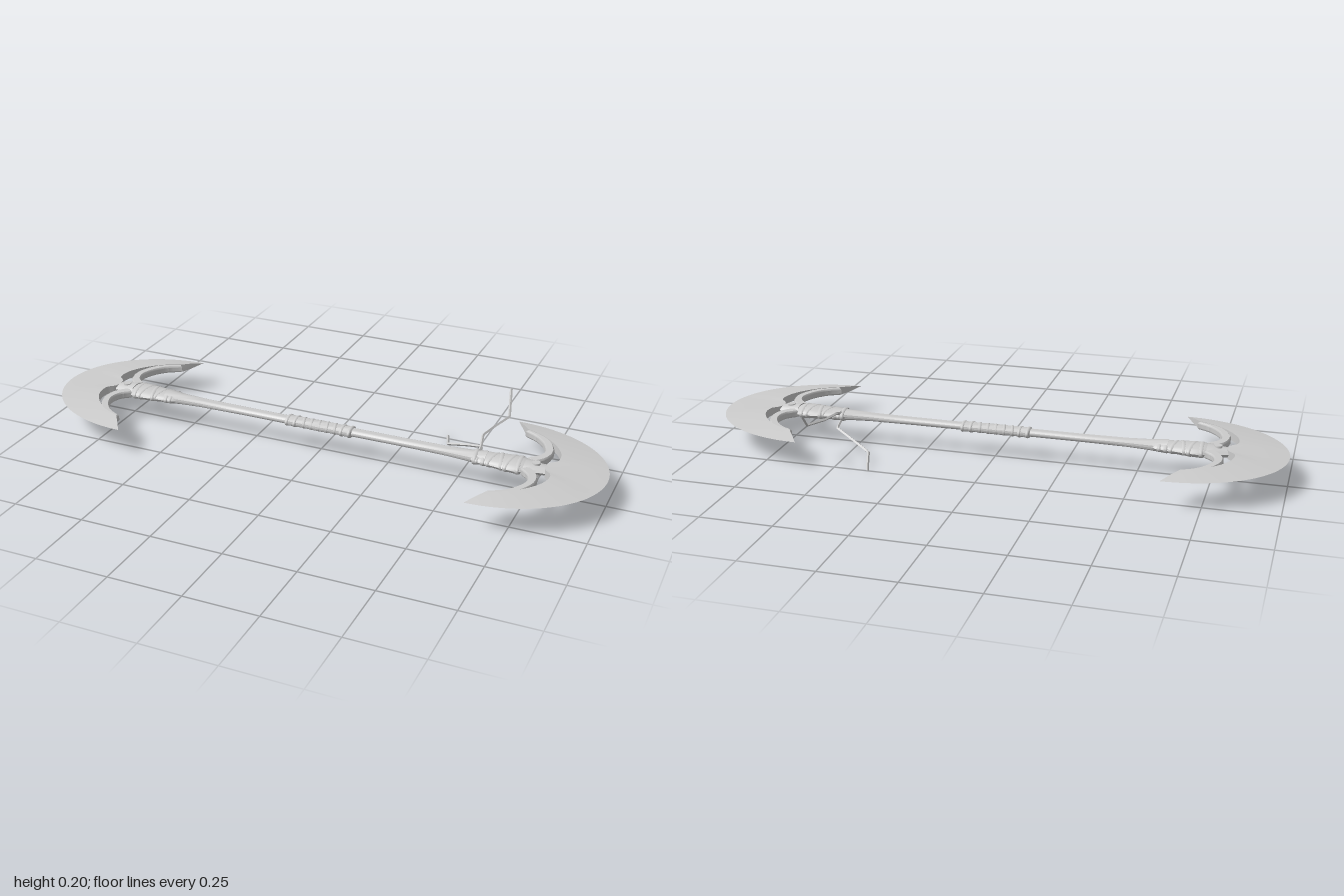
import * as THREE from 'three';
import { toCreasedNormals } from 'three/addons/utils/BufferGeometryUtils.js';

const AXIS_Y = 0.095, AXIS_Z = 0.012;
const steel = new THREE.MeshStandardMaterial({ color: 0xcccccc });

function add(parent, name, geometry) {
  const mesh = new THREE.Mesh(geometry, steel);
  mesh.name = name;
  parent.add(mesh);
  return mesh;
}

// Turned part along x with an oval section; profile is [x, half width in z]
function turned(profile, flat, sides = 16) {
  const g = new THREE.LatheGeometry(profile.map(([x, r]) => new THREE.Vector2(r, x)), sides);
  g.rotateZ(-Math.PI / 2).scale(1, flat, 1);
  return toCreasedNormals(g, 0.7);
}

// Oval band around the x axis, optionally slanted
function band(parent, name, x, rz, ry, tube, slant = 0) {
  const g = new THREE.TorusGeometry(1, tube / rz, 6, 20);
  g.rotateY(Math.PI / 2).scale(tube * 1.5 / (tube / rz), ry, rz);
  const m = add(parent, name, g);
  m.position.x = x;
  m.rotation.y = slant;
  return m;
}

// Skin over closed sections (arrays of Vector3), with end caps
function loft(sections, crease) {
  const n = sections[0].length, last = sections.length - 1, pos = [];
  const tri = (...ps) => ps.forEach(p => pos.push(p.x, p.y, p.z));
  for (let i = 0; i < last; i++) {
    for (let j = 0; j < n; j++) {
      const k = (j + 1) % n, A = sections[i], B = sections[i + 1];
      tri(A[j], A[k], B[j]);
      tri(A[k], B[k], B[j]);
    }
  }
  for (let j = 1; j < n - 1; j++) {
    tri(sections[last][0], sections[last][j], sections[last][j + 1]);
    tri(sections[0][0], sections[0][j + 1], sections[0][j]);
  }
  const g = new THREE.BufferGeometry();
  g.setAttribute('position', new THREE.Float32BufferAttribute(pos, 3));
  return toCreasedNormals(g, crease);
}

// Crescent blade: sharp elliptical outer edge, thick inner edge
function bladeGeometry() {
  const half = [[0.67, -0.237], [0.735, -0.205], [0.79, -0.155], [0.822, -0.1], [0.825, -0.05], [0.80, -0.022]];
  const pts = half.concat(half.slice().reverse().map(([x, z]) => [x, -z]));
  const inner = new THREE.CatmullRomCurve3(pts.map(([x, z]) => new THREE.Vector3(x, 0, z)));
  const sections = [], N = 48, T = 0.0145;
  for (let i = 0; i <= N; i++) {
    const a = -Math.PI / 2 + Math.PI * i / N;
    const o = new THREE.Vector3(0.62 + 0.38 * Math.cos(a), 0, 0.308 * Math.sin(a));
    const p = inner.getPoint(i / N);
    const m = o.clone().lerp(p, 0.6);
    const at = (v, y) => new THREE.Vector3(v.x, y, v.z);
    sections.push([o, at(m, T * 0.72), at(p, T), at(p, -T), at(m, -T * 0.72)]);
  }
  return loft(sections, 0.6);
}

// Curved prong from the socket to the blade horn
function prongGeometry(side) {
  const curve = new THREE.CatmullRomCurve3([[0.735, 0.03], [0.768, 0.062], [0.78, 0.11], [0.76, 0.165],
    [0.72, 0.21], [0.672, 0.236]].map(([x, z]) => new THREE.Vector3(x, z * side, 0)));
  const left = [], right = [];
  for (let i = 0; i <= 16; i++) {
    const t = i / 16, p = curve.getPoint(t), d = curve.getTangent(t);
    const w = 0.017 - 0.005 * t;
    left.push(new THREE.Vector2(p.x - d.y * w, p.y + d.x * w));
    right.unshift(new THREE.Vector2(p.x + d.y * w, p.y - d.x * w));
  }
  const g = new THREE.ExtrudeGeometry(new THREE.Shape(left.concat(right)), {
    depth: 0.014, bevelThickness: 0.006, bevelSize: 0.004, bevelOffset: -0.004, bevelSegments: 1 });
  g.translate(0, 0, -0.007).rotateX(Math.PI / 2);
  return toCreasedNormals(g, 0.6);
}

function makeHead() {
  const head = new THREE.Group();
  head.name = 'axeHead';
  add(head, 'blade', bladeGeometry());
  for (const side of [-1, 1]) add(head, 'prong', prongGeometry(side));

  // Flared socket with a wrapped cloth surface
  add(head, 'socket', turned([[0.54, 0.021], [0.56, 0.036], [0.58, 0.041], [0.62, 0.043], [0.66, 0.049],
    [0.71, 0.053], [0.725, 0.047], [0.745, 0.035], [0.745, 0]], 0.4));
  for (const [x, r, slant] of [[0.573, 0.038, 0], [0.592, 0.04, 0.1], [0.622, 0.042, -0.25],
    [0.65, 0.046, 0.2], [0.682, 0.049, -0.2], [0.712, 0.05, 0.05]]) {
    band(head, 'wrapBand', x, r, r * 0.4, 0.005, slant);
  }

  // Central tang that joins the socket and the blade
  add(head, 'tang', turned([[0.73, 0], [0.73, 0.04], [0.755, 0.037], [0.775, 0.03], [0.80, 0.027],
    [0.83, 0.018], [0.85, 0]], 0.55, 12));
  const boss = add(head, 'boss', new THREE.CylinderGeometry(0.014, 0.02, 0.044, 12));
  boss.position.x = 0.765;
  return head;
}

// Loose cord following straight runs between knots
function cord(points) {
  const path = new THREE.CatmullRomCurve3(points.map(p => new THREE.Vector3(...p)), false, 'catmullrom', 0);
  return toCreasedNormals(new THREE.TubeGeometry(path, 40, 0.005, 4, false), 0.5);
}

export function createModel() {
  const model = new THREE.Group();
  model.name = 'doubleEndedAxe';
  const weapon = new THREE.Group();
  weapon.name = 'weapon';
  weapon.position.set(0, AXIS_Y, AXIS_Z);
  model.add(weapon);

  // Shaft, slightly swollen at both ends
  add(weapon, 'shaft', turned([[-0.6, 0.036], [-0.54, 0.028], [-0.46, 0.023], [-0.3, 0.021], [0.3, 0.021],
    [0.46, 0.023], [0.54, 0.028], [0.6, 0.036]], 0.62));

  // Central grip with bound rings
  add(weapon, 'grip', turned([[-0.125, 0.02], [-0.12, 0.028], [-0.06, 0.026], [0, 0.028], [0.06, 0.026],
    [0.12, 0.028], [0.125, 0.02]], 0.6));
  for (let i = -4; i <= 4; i++) {
    const end = Math.abs(i) >= 3;
    band(weapon, 'gripRing', i * 0.029, end ? 0.028 : 0.025, end ? 0.016 : 0.0155, 0.004, end ? 0 : 0.25);
  }

  // Matching heads at both ends
  for (const turn of [0, Math.PI]) {
    const head = makeHead();
    head.rotation.y = turn;
    weapon.add(head);
  }

  // Tied cord with two trailing ends
  band(weapon, 'cordLoop', 0.563, 0.038, 0.019, 0.005, 0.08);
  add(model, 'upperCord', cord([[0.57, 0.108, 0.01], [0.565, 0.112, -0.03], [0.555, 0.13, -0.08],
    [0.57, 0.13, -0.15], [0.6, 0.137, -0.235], [0.577, 0.2, -0.322]]));
  add(model, 'lowerCord', cord([[0.57, 0.082, 0.01], [0.56, 0.082, -0.04], [0.55, 0.08, -0.09],
    [0.49, 0.06, -0.12], [0.41, 0.03, -0.157], [0.39, 0.009, -0.22], [0.375, 0.005, -0.262]]));
  return model;
}
